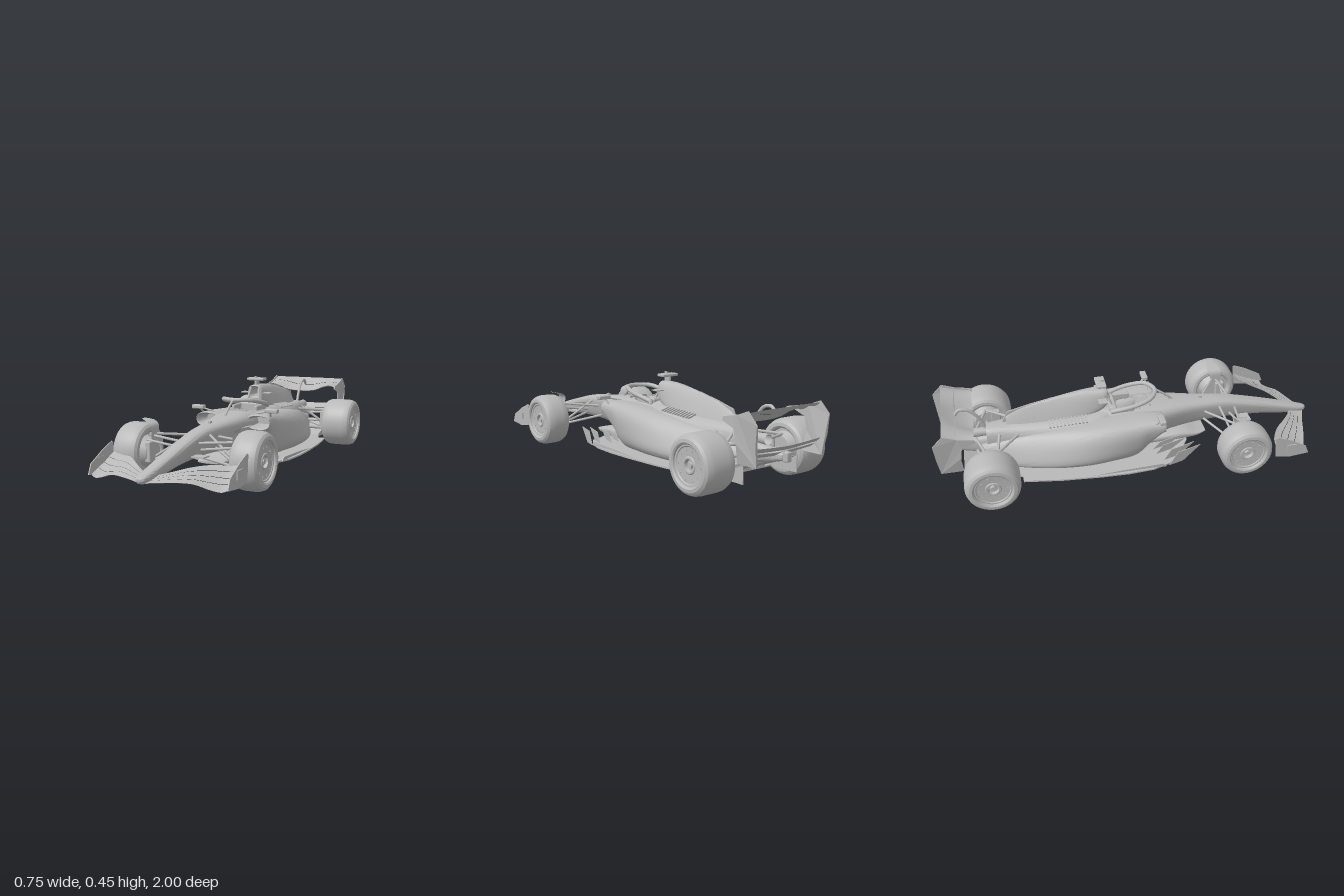
import * as THREE from 'three';
import { toCreasedNormals } from 'three/addons/utils/BufferGeometryUtils.js';
import { RoundedBoxGeometry } from 'three/addons/geometries/RoundedBoxGeometry.js';

const V = (x, y, z) => new THREE.Vector3(x, y, z);
const curve = pts => new THREE.CatmullRomCurve3(pts.map(p => V(...p)));

// Skin over rows of points; each row is a closed ring
function skin(rows, crease = 0.7) {
  const n = rows[0].length, idx = [];
  for (let i = 0; i < rows.length - 1; i++) for (let j = 0; j < n; j++) {
    const k = (j + 1) % n, a = i * n + j, b = i * n + k;
    idx.push(a, a + n, b, b, a + n, b + n);
  }
  const g = new THREE.BufferGeometry().setFromPoints(rows.flat());
  g.setIndex(idx);
  return toCreasedNormals(g, crease);
}

// Smooth loft through rounded sections [z, centreX, bottomHalfWidth, topHalfWidth, bottomY, topY]
function loft(sections, { power = 3, sides = 56, steps = 5, rule } = {}) {
  const rows = [], last = sections.length - 1;
  const mid = (a, b, c, d, t) => b + 0.5 * t * (c - a + t * (2 * a - 5 * b + 4 * c - d + t * (3 * (b - c) + d - a)));
  for (let i = 0; i <= last * steps; i++) {
    const k = Math.min(Math.floor(i / steps), last - 1), t = i / steps - k;
    const at = m => sections[Math.max(0, Math.min(last, m))];
    const [z, cx, wb, wt, yb, yt] = at(k).map((_, c) => mid(at(k - 1)[c], at(k)[c], at(k + 1)[c], at(k + 2)[c], t));
    const ring = [];
    for (let j = 0; j < sides; j++) {
      const a = j / sides * Math.PI * 2, c = Math.cos(a), s = Math.sin(a);
      const h = Math.sign(s) * Math.abs(s) ** (2 / power);
      const w = wb + (wt - wb) * (h + 1) / 2;
      const p = V(cx + Math.sign(c) * Math.abs(c) ** (2 / power) * w, yb + (yt - yb) * (h + 1) / 2, z);
      if (rule) rule(p);
      ring.push(p);
    }
    rows.push(ring);
  }
  const centre = ring => {
    const c = ring.reduce((s, p) => s.add(p), V(0, 0, 0)).divideScalar(ring.length);
    return ring.map(() => c.clone());
  };
  return skin([centre(rows[0]), ...rows, centre(rows.at(-1))]);
}

// Thin aerofoil between two edge curves, using the chord fraction f0..f1
function foil(le, te, f0, f1, power, thick = 0.006, span = 28) {
  const rows = [], m = 7;
  for (let i = 0; i <= span; i++) {
    const a = le.getPoint(i / span), b = te.getPoint(i / span), ring = [];
    for (let j = 0; j < 2 * m; j++) {
      const u = j < m ? j / m : 2 - j / m, f = f0 + (f1 - f0) * u;
      const p = a.clone().lerp(b, f);
      p.y = a.y + (b.y - a.y) * f ** power - (j > m ? thick * Math.sin(Math.PI * u) : 0);
      ring.push(p);
    }
    rows.push(ring);
  }
  return skin(rows);
}

function mirrored(geo) {
  const g = (geo.index ? geo.toNonIndexed() : geo.clone()).scale(-1, 1, 1);
  const idx = [];
  for (let i = 0; i < g.attributes.position.count; i += 3) idx.push(i, i + 2, i + 1);
  g.setIndex(idx);
  return g;
}

const shapeOf = pts => new THREE.Shape(pts.map(p => new THREE.Vector2(...p)));
const extrude = (pts, depth) => new THREE.ExtrudeGeometry(shapeOf(pts), { depth, bevelEnabled: false });
// Upright plate drawn in (z, y); flat plate drawn in (x, z)
const sidePlate = (pts, x, t = 0.005) => extrude(pts, t).rotateY(-Math.PI / 2).translate(x + t / 2, 0, 0);
const flatPlate = (pts, top, t) => extrude(pts, t).rotateX(Math.PI / 2).translate(0, top, 0);
const tube = (pts, r, n = 24) => new THREE.TubeGeometry(curve(pts), n, r, 10);
const rod = (a, b, r = 0.006) => new THREE.TubeGeometry(new THREE.LineCurve3(V(...a), V(...b)), 1, r, 8);
const box = (w, h, d, x, y, z) => new THREE.BoxGeometry(w, h, d).translate(x, y, z);
const pill = (w, h, d, x, y, z, r = 0.006) => new RoundedBoxGeometry(w, h, d, 3, r).translate(x, y, z);

export function createModel() {
  const car = new THREE.Group();
  const grey = new THREE.MeshStandardMaterial({ color: 0xb8b8b8, side: THREE.DoubleSide });
  grey.name = 'plain grey';
  const add = (name, geo) => {
    const m = new THREE.Mesh(geo, grey);
    m.name = name;
    car.add(m);
  };
  const pair = (name, geo) => { add(name + 'Left', geo); add(name + 'Right', mirrored(geo)); };

  // Nose and survival cell, with the cockpit pressed into the top
  const cockpit = p => {
    const r = Math.hypot(p.x / 0.068, (p.z + 0.005) / 0.1);
    if (r < 1) p.y = Math.min(p.y, 0.17 + 0.125 * r ** 5);
  };
  add('noseAndChassis', loft([
    [1, 0, 0.008, 0.01, 0.105, 0.118], [0.985, 0, 0.02, 0.022, 0.095, 0.125], [0.93, 0, 0.026, 0.031, 0.092, 0.142],
    [0.85, 0, 0.026, 0.037, 0.1, 0.165], [0.7, 0, 0.027, 0.045, 0.118, 0.207], [0.52, 0, 0.03, 0.055, 0.125, 0.25],
    [0.35, 0, 0.04, 0.074, 0.12, 0.268], [0.2, 0, 0.058, 0.108, 0.1, 0.284], [0.1, 0, 0.08, 0.118, 0.07, 0.291],
    [0, 0, 0.09, 0.115, 0.058, 0.295], [-0.1, 0, 0.09, 0.1, 0.058, 0.3], [-0.19, 0, 0.08, 0.07, 0.058, 0.3],
  ], { sides: 72, rule: cockpit }));

  // Sidepods: the skin starts inside the inlet, rolls over the lip and ramps down to the floor
  pair('sidepod', loft([
    [0.06, 0.14, 0.05, 0.05, 0.225, 0.262], [0.13, 0.145, 0.054, 0.057, 0.216, 0.27], [0.15, 0.145, 0.06, 0.063, 0.208, 0.277],
    [0.13, 0.14, 0.064, 0.07, 0.195, 0.282], [0.07, 0.13, 0.055, 0.085, 0.12, 0.284], [0, 0.12, 0.075, 0.1, 0.057, 0.282],
    [-0.12, 0.115, 0.11, 0.1, 0.052, 0.275], [-0.25, 0.11, 0.135, 0.085, 0.052, 0.262], [-0.4, 0.095, 0.14, 0.055, 0.052, 0.243],
    [-0.55, 0.075, 0.115, 0.035, 0.052, 0.22], [-0.68, 0.05, 0.075, 0.03, 0.055, 0.19], [-0.78, 0.04, 0.03, 0.03, 0.08, 0.17],
  ], { power: 2.7 }));

  // Engine cover shoulders, roll hoop intake with its spine, and fin
  add('engineCover', loft([
    [-0.1, 0, 0.1, 0.085, 0.1, 0.295], [-0.18, 0, 0.13, 0.115, 0.1, 0.292], [-0.3, 0, 0.14, 0.115, 0.1, 0.284],
    [-0.45, 0, 0.12, 0.098, 0.1, 0.273], [-0.6, 0, 0.085, 0.072, 0.1, 0.264], [-0.7, 0, 0.06, 0.058, 0.11, 0.258],
    [-0.745, 0, 0.055, 0.052, 0.12, 0.252],
  ]));
  add('airIntake', loft([
    [-0.2, 0, 0.02, 0.02, 0.345, 0.38], [-0.13, 0, 0.029, 0.028, 0.335, 0.392], [-0.12, 0, 0.036, 0.034, 0.326, 0.399],
    [-0.14, 0, 0.05, 0.039, 0.29, 0.403], [-0.25, 0, 0.075, 0.027, 0.24, 0.399], [-0.4, 0, 0.075, 0.013, 0.22, 0.376],
    [-0.55, 0, 0.058, 0.008, 0.21, 0.342], [-0.64, 0, 0.04, 0.006, 0.21, 0.3],
  ]));
  add('spineFin', sidePlate([[-0.25, 0.38], [-0.4, 0.377], [-0.52, 0.353], [-0.63, 0.325], [-0.66, 0.265], [-0.4, 0.27]], 0, 0.007));
  pair('intakeSupport', rod([0.035, 0.315, -0.1], [0.022, 0.39, -0.125], 0.005));
  pair('hoopWinglet', box(0.05, 0.005, 0.045, 0.06, 0.36, -0.15));
  add('cameraMast', box(0.012, 0.03, 0.04, 0, 0.413, -0.15));
  add('cameraBar', pill(0.096, 0.015, 0.05, 0, 0.433, -0.15, 0.005));
  add('cameraTop', box(0.008, 0.01, 0.02, 0, 0.444, -0.14));
  for (let i = 0; i < 11; i++)
    pair('coolingLouvre' + i, box(0.05, 0.008, 0.009, 0, 0, 0).rotateZ(-0.3).translate(0.084 - i * 0.001, 0.281 - i * 0.0012, -0.24 - i * 0.0185));

  // Cockpit furniture and halo
  pair('cockpitPadding', pill(0.018, 0.035, 0.12, 0.065, 0.29, -0.05));
  add('headrest', pill(0.13, 0.06, 0.04, 0, 0.285, -0.095, 0.012));
  add('steeringWheel', pill(0.07, 0.035, 0.014, 0, 0.245, 0.045));
  add('windDeflector', box(0.11, 0.012, 0.005, 0, 0.294, 0.1));
  const side = [[0.08, 0.3, -0.11], [0.094, 0.317, -0.05], [0.095, 0.334, 0.03], [0.07, 0.348, 0.1]];
  add('haloRing', tube([...side, [0, 0.349, 0.135], ...side.map(([x, y, z]) => [-x, y, z]).reverse()], 0.0115, 60));
  add('haloPillar', tube([[0, 0.35, 0.138], [0, 0.325, 0.175], [0, 0.28, 0.23]], 0.006));
  add('noseAntenna', box(0.005, 0.025, 0.015, 0, 0.278, 0.22));
  add('noseSensor', box(0.012, 0.012, 0.02, 0, 0.268, 0.385));
  pair('mirror', pill(0.07, 0.021, 0.032, 0.207, 0.303, 0.125));
  pair('mirrorStalk', rod([0.2, 0.3, 0.125], [0.19, 0.268, 0.1], 0.005));
  pair('mirrorArm', rod([0.18, 0.297, 0.125], [0.1, 0.28, 0.12], 0.004));

  // Floor, front bib, fences and diffuser
  const half = [[0.08, 0.3], [0.14, 0.26], [0.21, 0.23], [0.255, 0.16], [0.283, 0.07], [0.29, -0.06], [0.285, -0.2],
    [0.268, -0.4], [0.238, -0.59], [0.2, -0.59], [0.172, -0.66], [0.17, -0.72]];
  add('floor', flatPlate([...half, ...half.map(([x, z]) => [-x, z]).reverse()], 0.058, 0.008));
  add('frontBib', loft([[0.41, 0, 0.05, 0.06, 0.072, 0.082], [0.36, 0, 0.07, 0.08, 0.058, 0.09],
    [0.27, 0, 0.08, 0.085, 0.05, 0.11], [0.1, 0, 0.08, 0.085, 0.05, 0.1]]));
  [[0.12, 0.27, 0.09], [0.16, 0.28, 0.1], [0.215, 0.31, 0.11], [0.25, 0.335, 0.115]].forEach(([x, z, top], i) => {
    const fence = sidePlate([[z, top], [z - 0.13, top], [z - 0.18, 0.05], [z - 0.1, 0.048]], 0, 0.004);
    pair('floorFence' + i, fence.applyMatrix4(new THREE.Matrix4().makeShear(0, 0, 0, 0, -0.3, 0)).translate(x + (z - 0.14) * 0.3, 0, 0));
  });
  pair('floorEdgeWing', sidePlate([[0.14, 0.055], [0.12, 0.075], [-0.1, 0.068], [-0.3, 0.055]], 0.272, 0.004));
  add('diffuserRoof', foil(curve([[-0.17, 0.055, -0.66], [0, 0.055, -0.66], [0.17, 0.055, -0.66]]),
    curve([[-0.17, 0.13, -0.87], [0, 0.13, -0.87], [0.17, 0.13, -0.87]]), 0, 1, 1.2));
  pair('diffuserWall', sidePlate([[-0.66, 0.05], [-0.66, 0.06], [-0.87, 0.132], [-0.87, 0.05]], 0.168, 0.004));

  // Front wing: four swept elements per side and an endplate
  const frontLE = curve([[0.012, 0.1, 0.985], [0.1, 0.103, 0.947], [0.2, 0.1, 0.912], [0.27, 0.077, 0.888], [0.315, 0.068, 0.872], [0.345, 0.08, 0.862]]);
  const frontTE = curve([[0.012, 0.115, 0.9], [0.07, 0.128, 0.87], [0.14, 0.145, 0.815], [0.21, 0.15, 0.75], [0.28, 0.145, 0.71], [0.345, 0.152, 0.692]]);
  [[0, 0.31], [0.325, 0.55], [0.565, 0.775], [0.79, 1]].forEach(([a, b], i) =>
    pair('frontWingElement' + i, foil(frontLE, frontTE, a, b, 1.15)));
  pair('frontEndplate', sidePlate([[0.88, 0.078], [0.86, 0.125], [0.77, 0.175], [0.7, 0.203], [0.69, 0.195], [0.7, 0.08], [0.78, 0.068]], 0.345));
  pair('divePlane', box(0.012, 0.04, 0.05, 0.347, 0.128, 0.78));
  pair('noseSidePlate', box(0.065, 0.006, 0.055, 0.075, 0.15, 0.618));

  // Rear wing: two spoon-shaped elements, endplates, beam wing and pylon
  const span = (pts, z) => curve([...pts.map(([x, y]) => [-x, y, z]), ...pts.slice(0, -1).reverse().map(([x, y]) => [x, y, z])]);
  const rearLE = span([[0.222, 0.335], [0.19, 0.345], [0.15, 0.338], [0.09, 0.315], [0, 0.308]], -0.8);
  const rearTE = span([[0.215, 0.376], [0.15, 0.378], [0.07, 0.378], [0, 0.378]], -0.95);
  add('rearMainPlane', foil(rearLE, rearTE, 0, 0.57, 1.5, 0.012, 40));
  add('rearFlap', foil(rearLE, rearTE, 0.59, 1, 1.5, 0.008, 40));
  const endplate = sidePlate([[-0.795, 0.325], [-0.8, 0.342], [-0.88, 0.358], [-0.945, 0.383], [-0.997, 0.33], [-0.99, 0.24],
    [-0.98, 0.148], [-0.87, 0.148], [-0.875, 0.24], [-0.862, 0.3]], 0.222, 0.006);
  const ep = endplate.attributes.position;
  for (let i = 0; i < ep.count; i++) ep.setX(i, ep.getX(i) - Math.max(0, 0.25 - ep.getY(i)) * 0.2);
  endplate.computeVertexNormals();
  pair('rearEndplate', endplate);
  const beam = (z, y) => curve([[-0.2, y, z], [0, y - 0.01, z], [0.2, y, z]]);
  add('beamWingLower', foil(beam(-0.88, 0.17), beam(-0.94, 0.195), 0, 1, 1.4));
  add('beamWingUpper', foil(beam(-0.92, 0.2), beam(-0.97, 0.225), 0, 1, 1.4));
  add('wingPylon', tube([[0, 0.23, -0.74], [0, 0.31, -0.775], [0, 0.362, -0.82], [0, 0.368, -0.865], [0, 0.345, -0.885]], 0.008));
  add('exhaust', new THREE.CylinderGeometry(0.022, 0.024, 0.12, 24, 1, true).rotateX(Math.PI / 2).translate(0, 0.22, -0.79));
  add('gearbox', loft([[-0.68, 0, 0.05, 0.05, 0.08, 0.22], [-0.8, 0, 0.035, 0.035, 0.11, 0.2], [-0.95, 0, 0.018, 0.018, 0.145, 0.18]]));
  add('rainLight', pill(0.03, 0.045, 0.03, 0, 0.165, -0.96));

  // Wheels: rounded tyre, recessed cover and hub nut as one turned profile
  const wheel = (name, x0, x1, z) => {
    const w = x1 - x0, R = 0.136;
    const prof = [[0, 0.025], [0.088, 0.025], [0.092, 0.006], [0.1, 0], [0.115, 0.002], [0.127, 0.011], [0.134, 0.028], [R, 0.045],
      [R, w - 0.045], [0.134, w - 0.028], [0.127, w - 0.011], [0.115, w - 0.002], [0.1, w], [0.093, w - 0.005], [0.091, w - 0.012],
      [0.084, w - 0.012], [0.08, w - 0.016], [0.04, w - 0.018], [0.036, w - 0.014], [0.028, w - 0.014], [0.025, w - 0.03],
      [0.014, w - 0.03], [0.012, w - 0.018], [0, w - 0.018]];
    const g = new THREE.LatheGeometry(prof.map(p => new THREE.Vector2(...p)), 56).rotateZ(-Math.PI / 2).translate(x0, R + 0.001, z);
    pair(name, toCreasedNormals(g, 0.5));
    for (let i = 0; i < 10; i++) {
      const a = i / 10 * Math.PI * 2;
      pair(name + 'Bolt' + i, box(0.004, 0.007, 0.007, x1 - 0.016, R + 0.068 * Math.sin(a), z + 0.068 * Math.cos(a)));
    }
    pair(name + 'BrakeDrum', new THREE.CylinderGeometry(0.078, 0.06, 0.04, 32).rotateZ(-Math.PI / 2).translate(x0 + 0.008, R, z));
  };
  wheel('frontWheel', 0.236, 0.374, 0.54);
  wheel('rearWheel', 0.202, 0.374, -0.74);

  // Suspension arms
  [[[0.24, 0.222, 0.54], [0.055, 0.206, 0.4]], [[0.24, 0.215, 0.54], [0.04, 0.2, 0.57]], [[0.24, 0.095, 0.54], [0.04, 0.15, 0.4]],
    [[0.24, 0.095, 0.54], [0.035, 0.14, 0.57]], [[0.235, 0.1, 0.53], [0.05, 0.225, 0.48]], [[0.24, 0.195, 0.57], [0.04, 0.165, 0.545]]]
    .forEach(([a, b], i) => pair('frontArm' + i, rod(a, b, 0.0065)));
  [[[0.21, 0.2, -0.74], [0.06, 0.225, -0.58]], [[0.21, 0.2, -0.74], [0.03, 0.205, -0.8]], [[0.21, 0.09, -0.74], [0.06, 0.12, -0.6]],
    [[0.21, 0.09, -0.74], [0.03, 0.13, -0.8]], [[0.21, 0.137, -0.74], [0.03, 0.14, -0.74]], [[0.21, 0.11, -0.72], [0.05, 0.23, -0.68]]]
    .forEach(([a, b], i) => pair('rearArm' + i, rod(a, b, 0.0075)));

  // Winglets over the front tyres and brake duct scoops
  pair('tyreWinglet', foil(curve([[0.212, 0.2, 0.57], [0.216, 0.26, 0.57], [0.24, 0.277, 0.565], [0.285, 0.29, 0.54]]),
    curve([[0.212, 0.2, 0.52], [0.216, 0.262, 0.5], [0.24, 0.28, 0.495], [0.285, 0.291, 0.51]]), 0, 1, 1, 0.003, 16));
  pair('frontBrakeScoop', pill(0.03, 0.1, 0.05, 0.222, 0.14, 0.57));
  pair('rearBrakeScoop', pill(0.03, 0.11, 0.05, 0.192, 0.15, -0.69));
  return car;
}
